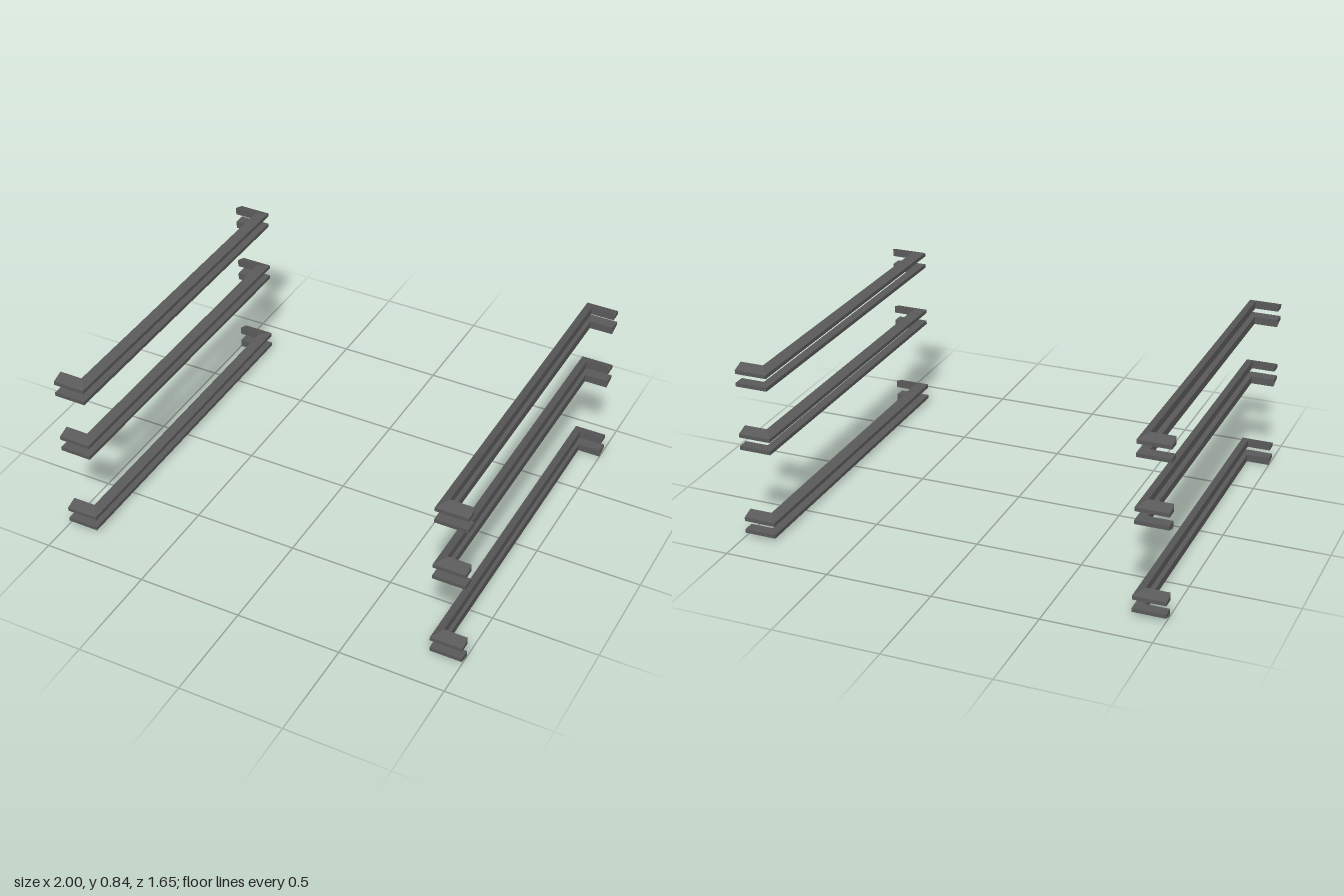
import * as THREE from 'three';

// Plan of the C-shaped bracket: outer and inner edge at each station, as [x, z]
const OUTER = [[1, 0.827], [0.848, 0.827], [0.848, -0.827], [1, -0.827]];
const INNER = [[1, 0.772], [0.89, 0.772], [0.89, -0.772], [1, -0.772]];
// Heights measured from the middle of each pair of strips
const BASE = 0.021, LIP = 0.039, CREST = 0.0575;

// Mitred strip with a bevelled outer edge; sx and sy mirror it
function stripGeometry(sx, sy) {
  const positions = [];
  const point = ([x, z], y) => [sx * x, sy * y, z];
  const quad = (a, b, c, d) => {
    const order = sx * sy > 0 ? [a, b, c, a, c, d] : [a, c, b, a, d, c];
    order.forEach((p) => positions.push(...p));
  };

  const rings = OUTER.map((outer, i) => [
    point(outer, BASE), point(outer, LIP), point(INNER[i], CREST), point(INNER[i], BASE),
  ]);
  for (let i = 0; i < 3; i++) {
    for (let j = 0; j < 4; j++) {
      const k = (j + 1) % 4;
      quad(rings[i][j], rings[i][k], rings[i + 1][k], rings[i + 1][j]);
    }
  }

  // End caps close the square part only; the bevel stays open
  const [start, end] = [rings[0], rings[3]];
  quad(start[0], start[3], point(INNER[0], LIP), start[1]);
  quad(end[0], end[1], point(INNER[3], LIP), end[3]);

  const geometry = new THREE.BufferGeometry();
  geometry.setAttribute('position', new THREE.Float32BufferAttribute(positions, 3));
  geometry.computeVertexNormals();
  return geometry;
}

export function createModel() {
  const model = new THREE.Group();
  model.name = 'bracketRails';
  const darkGrey = new THREE.MeshStandardMaterial({ color: 0x5a5a5a, side: THREE.DoubleSide });
  darkGrey.name = 'darkGrey';

  // Three levels of paired strips on each side
  for (const [side, sx] of [['left', 1], ['right', -1]]) {
    const upper = stripGeometry(sx, 1);
    const lower = stripGeometry(sx, -1);
    [['bottom', 0.0575], ['middle', 0.4755], ['top', 0.783]].forEach(([level, y]) => {
      const pair = new THREE.Group();
      pair.name = `${side} ${level} rail pair`;
      pair.position.y = y;
      for (const [name, geometry] of [['upperStrip', upper], ['lowerStrip', lower]]) {
        const strip = new THREE.Mesh(geometry, darkGrey);
        strip.name = name;
        pair.add(strip);
      }
      model.add(pair);
    });
  }
  return model;
}
